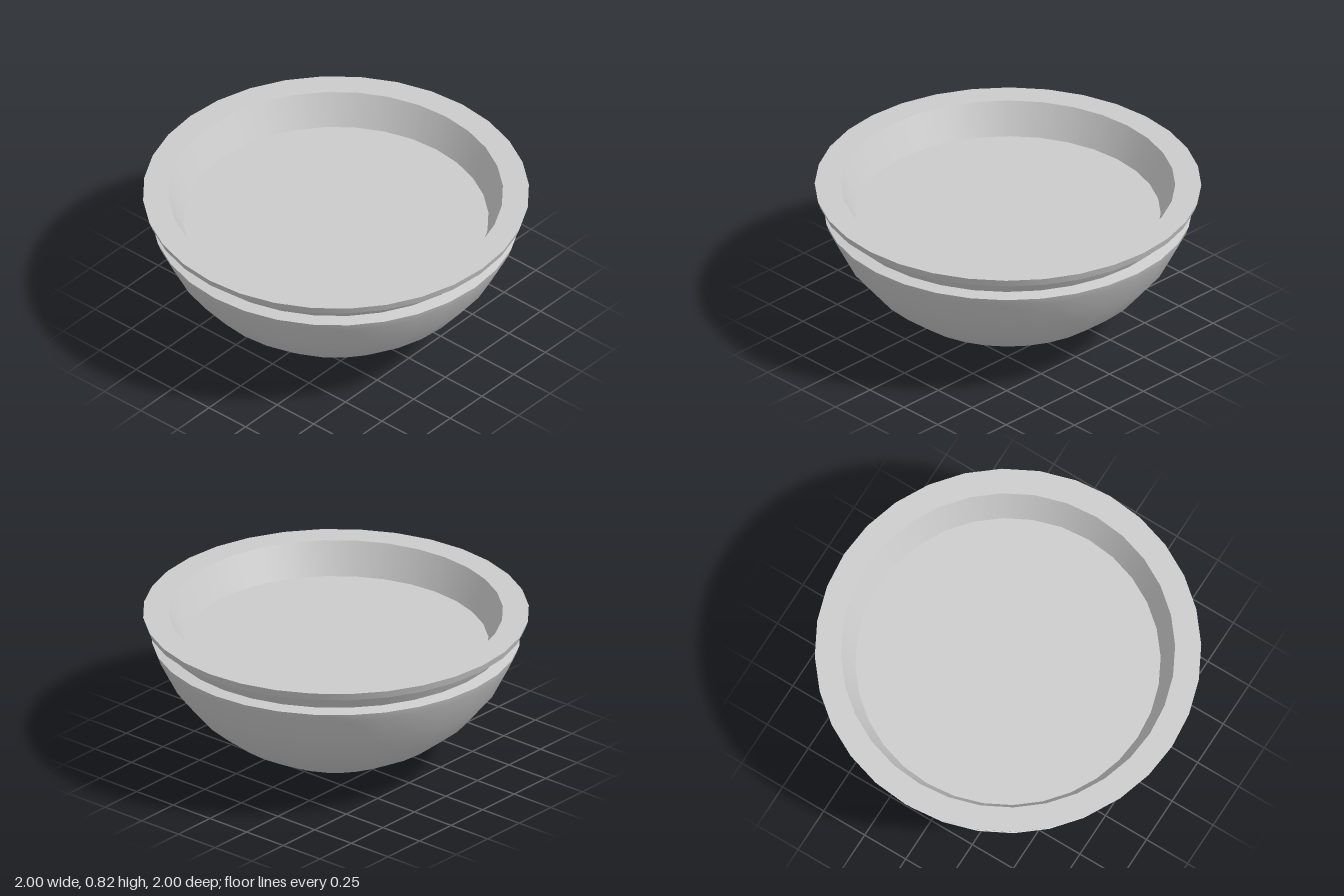
import * as THREE from 'three';

const SIDES = 32;

export function createModel() {
  const group = new THREE.Group();
  const material = new THREE.MeshStandardMaterial({ color: 0xcccccc });

  // Each band is smooth in itself; separate bands keep the edges between them sharp.
  const bands = {
    bowlShell: [[0, 0], [0.2, 0.027], [0.39, 0.086], [0.567, 0.182], [0.722, 0.305], [0.85, 0.462], [0.94, 0.64], [0.955, 0.683]],
    shoulderLedge: [[0.955, 0.683], [0.89, 0.695]],
    neckGroove: [[0.89, 0.695], [0.942, 0.785]],
    lipUnderside: [[0.942, 0.785], [0.985, 0.782]],
    lipEdge: [[0.985, 0.782], [1, 0.825]],
    rimTop: [[1, 0.825], [0.865, 0.825]],
    innerWall: [[0.865, 0.825], [0.79, 0.655]],
    innerFloor: [[0.79, 0.655], [0, 0.655]],
  };

  for (const [name, profile] of Object.entries(bands)) {
    const points = profile.map(([r, y]) => new THREE.Vector2(r, y));
    const mesh = new THREE.Mesh(new THREE.LatheGeometry(points, SIDES), material);
    mesh.name = name;
    group.add(mesh);
  }
  return group;
}
